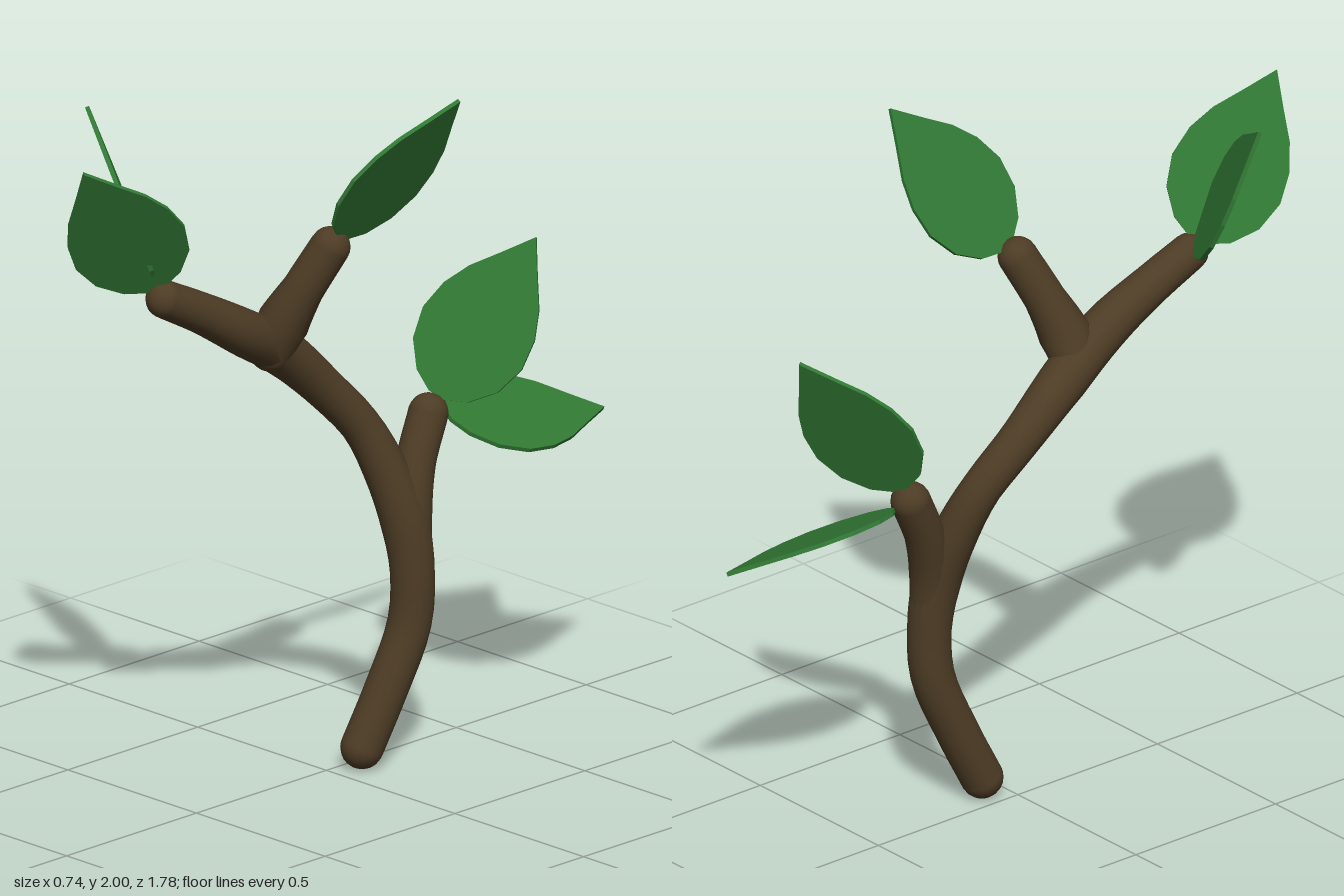
import * as THREE from 'three';

const V = (p) => new THREE.Vector3(...p);
const barkMaterial = new THREE.MeshStandardMaterial({ color: 0x4d3c25 });
const leafMaterial = new THREE.MeshStandardMaterial({ color: 0x31773a, flatShading: true });
leafMaterial.color.set(0x317834);

// Round-ended limb; each point is [x, y, z, radius]
function makeLimb(name, points) {
  const group = new THREE.Group();
  group.name = name;
  const curve = new THREE.CatmullRomCurve3(points.map((p) => V(p.slice(0, 3))));
  const segments = 40, sides = 18;
  const geometry = new THREE.TubeGeometry(curve, segments, 1, sides);
  const position = geometry.attributes.position;
  const v = new THREE.Vector3();
  for (let i = 0; i <= segments; i++) {
    const u = i / segments;
    const center = curve.getPointAt(u);
    const t = curve.getUtoTmapping(u) * (points.length - 1);
    const k = Math.min(Math.floor(t), points.length - 2);
    const radius = THREE.MathUtils.lerp(points[k][3], points[k + 1][3], t - k);
    for (let j = 0; j <= sides; j++) {
      const n = i * (sides + 1) + j;
      v.fromBufferAttribute(position, n).sub(center).multiplyScalar(radius).add(center);
      position.setXYZ(n, v.x, v.y, v.z);
    }
  }
  group.add(new THREE.Mesh(geometry, barkMaterial));
  for (const p of [points[0], points[points.length - 1]]) {
    const cap = new THREE.Mesh(new THREE.SphereGeometry(p[3], 18, 12), barkMaterial);
    cap.position.set(p[0], p[1], p[2]);
    group.add(cap);
  }
  group.children.forEach((m, i) => { m.name = name + ['Wood', 'StartCap', 'EndCap'][i]; });
  return group;
}

// Thin pointed leaf from base to tip, spread along the "across" direction
function makeLeaf(name, base, tip, across) {
  const origin = V(base);
  const axis = V(tip).sub(origin);
  const length = axis.length();
  axis.normalize();
  const side = V(across).addScaledVector(axis, -V(across).dot(axis)).normalize();
  const normal = new THREE.Vector3().crossVectors(side, axis);
  const outline = [[0.025, 0], [0.085, 0.06], [0.14, 0.19], [0.163, 0.36],
    [0.15, 0.53], [0.115, 0.68], [0.06, 0.83]];
  const loop = [
    ...outline.map(([x, y]) => new THREE.Vector2(x, y * length)),
    new THREE.Vector2(0, length),
    ...outline.slice().reverse().map(([x, y]) => new THREE.Vector2(-x, y * length)),
  ];
  const thickness = 0.012;
  const geometry = new THREE.ExtrudeGeometry(new THREE.Shape(loop), { depth: thickness, bevelEnabled: false });
  geometry.translate(0, 0, -thickness / 2);
  geometry.applyMatrix4(new THREE.Matrix4().makeBasis(side, axis, normal).setPosition(origin));
  const leaf = new THREE.Mesh(geometry, leafMaterial);
  leaf.name = name;
  return leaf;
}

export function createModel() {
  const model = new THREE.Group();
  model.name = 'leafyBranch';

  // Main stem, bending forward to its upper end
  model.add(makeLimb('mainStem', [
    [0.055, 0.065, -0.083, 0.06], [0.075, 0.22, -0.155, 0.06], [0.096, 0.4, -0.224, 0.061],
    [0.1, 0.55, -0.232, 0.062], [0.083, 0.7, -0.217, 0.068], [0.04, 0.85, -0.183, 0.062],
    [0.0, 0.97, -0.135, 0.056], [-0.035, 1.1, -0.025, 0.058], [-0.042, 1.24, 0.13, 0.068],
    [-0.025, 1.345, 0.3, 0.066], [-0.042, 1.43, 0.44, 0.057], [-0.058, 1.497, 0.565, 0.053],
  ]));

  // Two side shoots, widening where they join the stem
  model.add(makeLimb('upperShoot', [
    [-0.035, 1.26, 0.18, 0.06], [0.005, 1.35, 0.17, 0.073],
    [0.05, 1.45, 0.138, 0.058], [0.103, 1.572, 0.087, 0.056],
  ]));
  model.add(makeLimb('rearShoot', [
    [0.1, 0.56, -0.232, 0.055], [0.085, 0.72, -0.24, 0.06],
    [0.07, 0.85, -0.275, 0.056], [0.06, 0.975, -0.333, 0.056],
  ]));

  // Leaves at the shoot ends
  model.add(makeLeaf('frontLeaf', [-0.07, 1.53, 0.585], [-0.045, 1.945, 0.89], [0.23, 0.16, -0.18]));
  model.add(makeLeaf('frontRightLeaf', [-0.08, 1.535, 0.57], [-0.37, 1.975, 0.555], [0.2, 0.13, 0.22]));
  model.add(makeLeaf('upperLeaf', [0.125, 1.6, 0.065], [0.36, 2.0, -0.155], [0.05, 0.11, 0.27]));
  model.add(makeLeaf('rearUpperLeaf', [0.065, 1.02, -0.36], [0.18, 1.44, -0.63], [0.27, -0.13, -0.12]));
  model.add(makeLeaf('rearLowerLeaf', [0.075, 0.96, -0.39], [0.18, 0.88, -0.89], [0.28, -0.13, 0.06]));
  return model;
}
